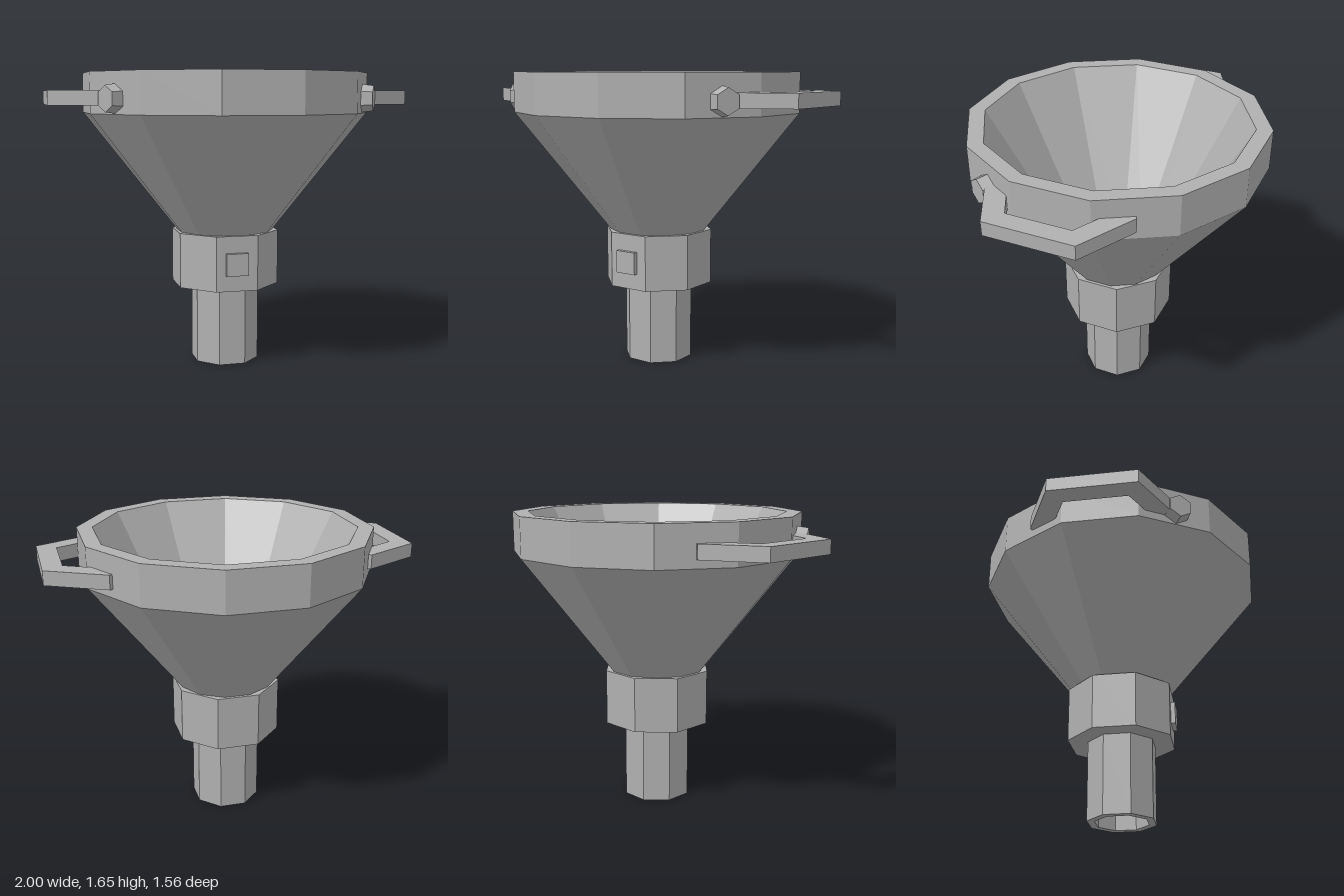
import * as THREE from 'three';

const grey = new THREE.MeshStandardMaterial({ color: 0xb0b0b0, flatShading: true });
grey.name = 'grey metal';

export function createModel() {
  const model = new THREE.Group();
  model.name = 'funnel';

  const add = (name, geometry) => {
    const mesh = new THREE.Mesh(geometry, grey);
    mesh.name = name;
    model.add(mesh);
    return mesh;
  };

  // Closed profile turned into a prism-like ring with a flat side facing front
  const ring = (name, sides, profile) => add(name, new THREE.LatheGeometry(
    profile.map(([r, y]) => new THREE.Vector2(r, y)), sides, Math.PI / sides));

  // Twelve-sided bowl with an upright rim and a conical inside
  ring('bowl', 12, [[0.278, 0.76], [0.807, 1.43], [0.807, 1.65], [0.72, 1.65], [0.222, 0.76], [0.278, 0.76]]);

  // Eight-sided collar and hollow spout
  ring('collar', 8, [[0.152, 0.45], [0.309, 0.45], [0.309, 0.76], [0.152, 0.76], [0.152, 0.45]]);
  ring('spout', 8, [[0.152, 0], [0.195, 0], [0.195, 0.45], [0.152, 0.45], [0.152, 0]]);

  // Small square plate on the front of the collar
  add('frontPlate', new THREE.BoxGeometry(0.125, 0.125, 0.05)).position.set(-0.002, 0.603, 0.285);

  // Handle outline seen from above
  const half = [[0.74, 0.253], [0.665, 0.385], [0.69, 0.4], [1, 0.24]];
  const outline = [
    [0.895, 0.173], ...half,
    ...half.map(([x, z]) => [x, -z]).reverse(), [0.895, -0.173],
  ].map(([x, z]) => new THREE.Vector2(x, z));
  const handleGeometry = new THREE.ExtrudeGeometry(new THREE.Shape(outline), { depth: 0.077, bevelEnabled: false });
  handleGeometry.rotateX(Math.PI / 2).translate(0, 1.552, 0);

  // Hexagonal bolt lying on the rim face, axis along +x, point upward
  const boltGeometry = new THREE.CylinderGeometry(0.068, 0.078, 0.08, 6);
  boltGeometry.rotateY(Math.PI / 2).rotateZ(-Math.PI / 2);

  for (const [side, s] of [['left', 1], ['right', -1]]) {
    add(side + 'Handle', handleGeometry).rotation.y = s > 0 ? 0 : Math.PI;
    const bolt = add(side + 'Bolt', boltGeometry);
    bolt.position.set(s * 0.69, 1.51, 0.407);
    bolt.rotation.y = s > 0 ? -Math.PI / 6 : -Math.PI * 5 / 6;
  }
  return model;
}
